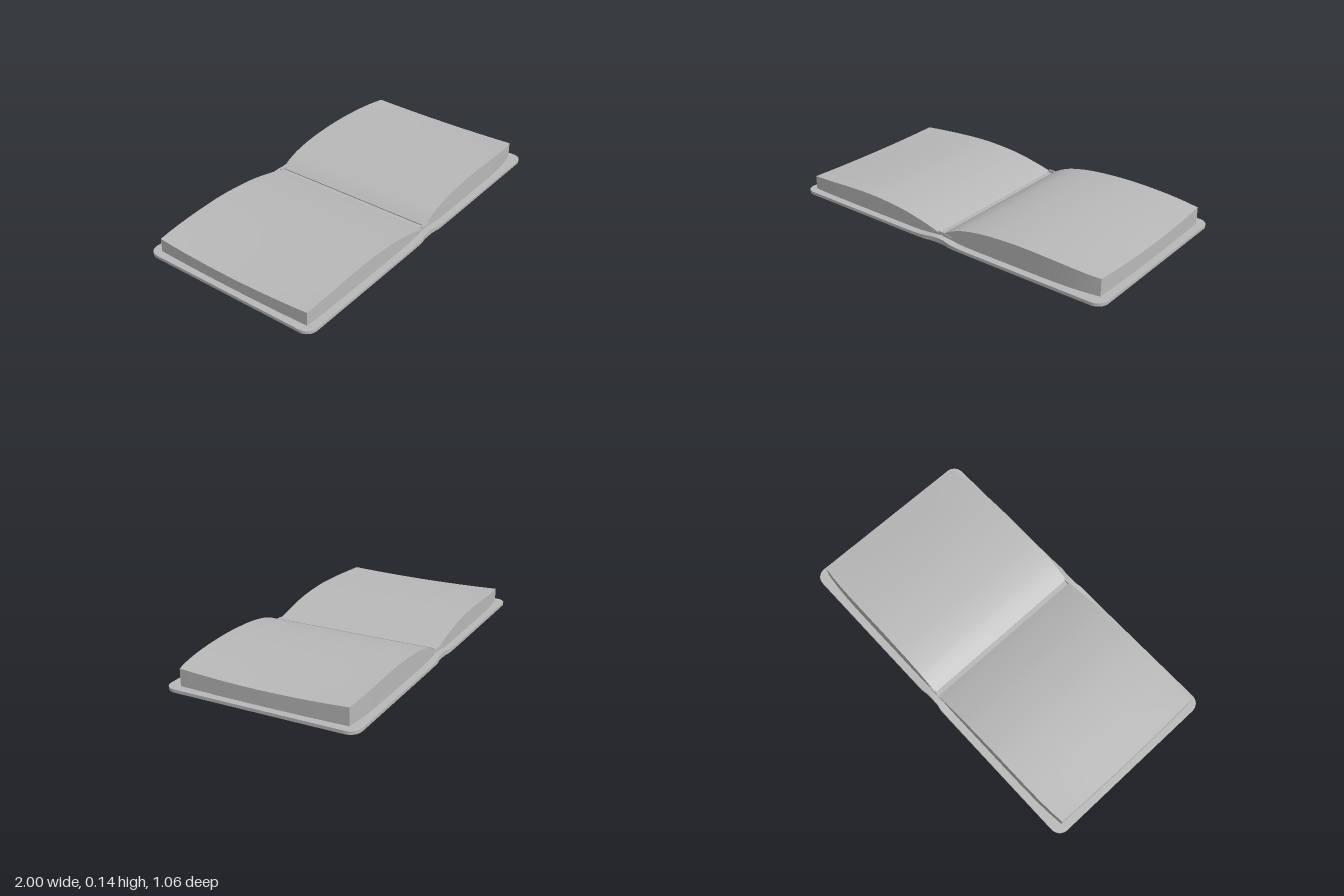
import * as THREE from 'three';

const paper = new THREE.MeshStandardMaterial({ color: 0xb9b9b9 });
paper.name = 'plain grey';

// Subdivided unit box reshaped by a rule (u, v, w in -0.5..0.5); box edges stay sharp
function shapedBox(name, segX, segZ, rule) {
  const geometry = new THREE.BoxGeometry(1, 1, 1, segX, 1, segZ);
  const pos = geometry.attributes.position;
  for (let i = 0; i < pos.count; i++) {
    pos.setXYZ(i, ...rule(pos.getX(i), pos.getY(i), pos.getZ(i)));
  }
  geometry.computeVertexNormals();
  const mesh = new THREE.Mesh(geometry, paper);
  mesh.name = name;
  return mesh;
}

function box(name, w, h, d, x, y, z) {
  const mesh = new THREE.Mesh(new THREE.BoxGeometry(w, h, d), paper);
  mesh.name = name;
  mesh.position.set(x, y, z);
  return mesh;
}

// Gentle rise of the cover towards the spine
const coverRise = (x) => 0.014 * Math.exp(-((x / 0.1) ** 2));

function makeCover() {
  const radius = 0.06;
  return shapedBox('cover', 80, 8, (u, v, w) => {
    const x = Math.sin(u * Math.PI);
    const over = Math.max(0, Math.abs(x) - (1 - radius));
    let half = 0.53 - radius + Math.sqrt(Math.max(0, radius ** 2 - over ** 2));
    if (Math.abs(x) < 0.04) half -= 0.007; // dent at the ends of the spine
    const y = v > 0 ? 0.017 + coverRise(x) : 0.3 * coverRise(x);
    return [x, y, w * 2 * half];
  });
}

// Stack of pages following a curved profile given from left to right
function makePages(name, profile, side, backTrim, frontTrim) {
  const curve = new THREE.SplineCurve(profile.map(([x, y]) => new THREE.Vector2(x, y)));
  return shapedBox(name, 32, 20, (u, v, w) => {
    const p = curve.getPoint(u + 0.5);
    const outer = Math.min(1, Math.abs(p.x) / 0.955);
    const t = w * 2;
    // outer edge sags between the corners; corners pull in slightly
    const sag = 0.013 * outer ** 4 * (1 - t * t);
    const trim = (t < 0 ? backTrim : frontTrim) * outer ** 8;
    const x = p.x - side * 0.008 * outer ** 6 * t * t;
    const y = v > 0 ? p.y - sag : 0.015 + coverRise(x);
    return [x, y, t * (0.49 - trim)];
  });
}

export function createModel() {
  const book = new THREE.Group();
  book.name = 'openBook';
  book.add(makeCover());

  book.add(makePages('rightHandPages', [
    [0.01, 0.045], [0.07, 0.078], [0.15, 0.105], [0.27, 0.126], [0.41, 0.136],
    [0.55, 0.138], [0.75, 0.129], [0.96, 0.111],
  ], 1, 0.018, 0.028));
  book.add(makePages('leftHandPages', [
    [-0.965, 0.094], [-0.82, 0.102], [-0.68, 0.11], [-0.53, 0.115], [-0.42, 0.112],
    [-0.28, 0.1], [-0.17, 0.081], [-0.07, 0.058], [-0.015, 0.042],
  ], -1, 0.016, 0.006));

  // Gutter between the stacks, and the bands at both ends of the spine
  book.add(box('gutter', 0.03, 0.014, 0.97, -0.003, 0.032, 0));
  for (const z of [-0.487, 0.487]) {
    book.add(box('spineBand', 0.13, 0.01, 0.012, 0, 0.041, z));
    book.add(box('spineBandTop', 0.04, 0.012, 0.01, 0, 0.047, z));
  }
  return book;
}
